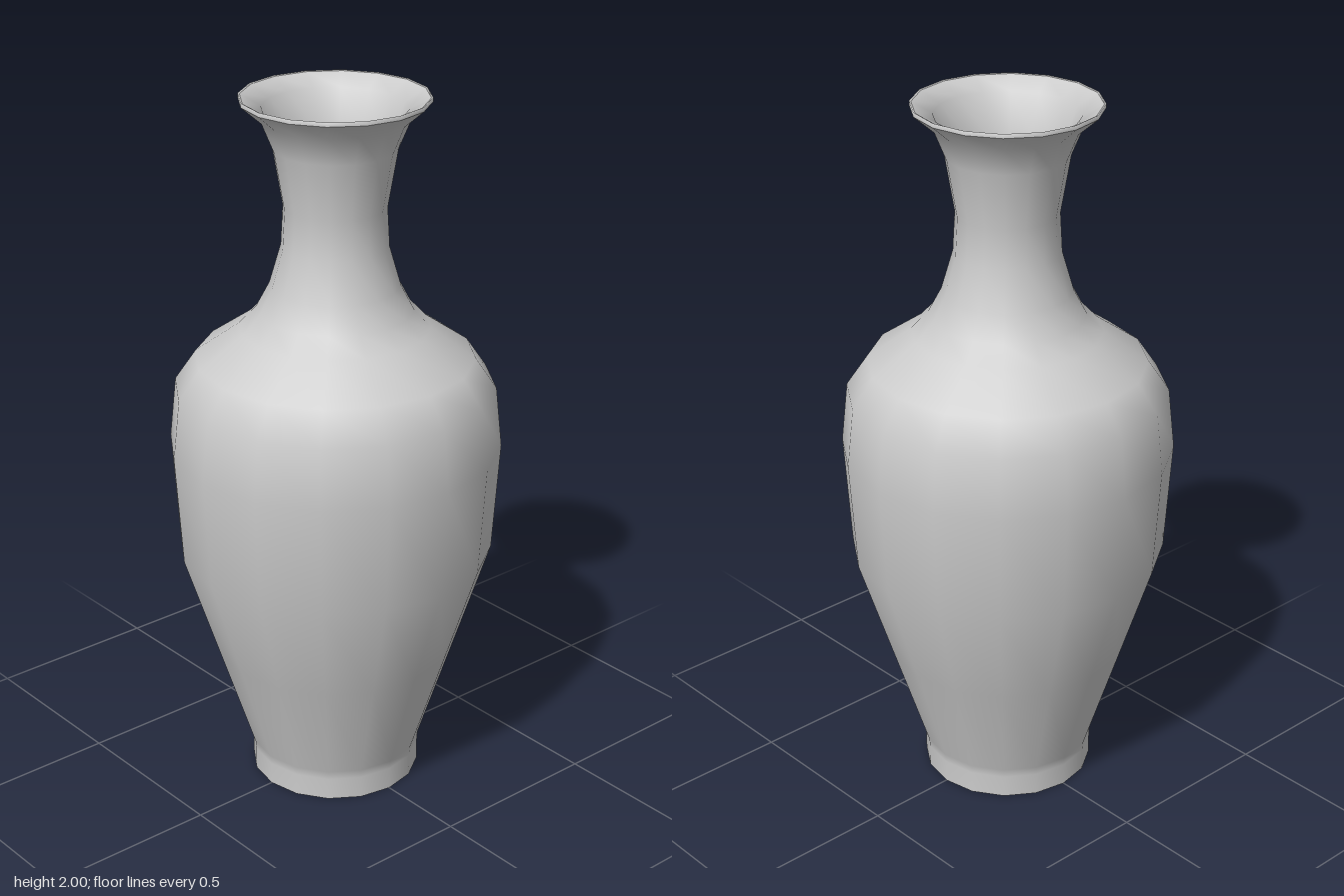
import * as THREE from 'three';

const SIDES = 16;

// Outer profile, foot to lip: [radius, height]
const OUTER = [
  [0.241, 0], [0.241, 0.065], [0.243, 0.09], [0.342, 0.4], [0.44, 0.707],
  [0.46, 1.02], [0.442, 1.19], [0.384, 1.275], [0.262, 1.36], [0.215, 1.41],
  [0.178, 1.48], [0.146, 1.59], [0.14, 1.7], [0.167, 1.86], [0.2, 1.94], [0.255, 1.988],
];

// Inner profile, lip to floor
const INNER = [
  [0.25, 1.998], [0.195, 1.968], [0.152, 1.86], [0.123, 1.7], [0.129, 1.59],
  [0.16, 1.48], [0.197, 1.41], [0.25, 1.345], [0.37, 1.255], [0.422, 1.18],
  [0.44, 1.02], [0.42, 0.71], [0.322, 0.4], [0.225, 0.1],
];

export function createModel() {
  const vase = new THREE.Group();
  vase.name = 'vase';
  const material = new THREE.MeshStandardMaterial({ color: 0xcccccc });

  // Separate lathes keep the edges between parts sharp
  const addLathe = (name, profile) => {
    const points = profile.map(([r, y]) => new THREE.Vector2(r, y));
    const mesh = new THREE.Mesh(new THREE.LatheGeometry(points, SIDES), material);
    mesh.name = name;
    vase.add(mesh);
  };

  addLathe('outerBody', OUTER);
  addLathe('lipEdge', [[0.255, 1.988], [0.255, 2], [0.25, 1.998]]);
  addLathe('innerWall', INNER);
  addLathe('innerFloor', [[0.225, 0.1], [0, 0.1]]);

  // Hollow foot: standing ring, inside of the ring and recessed underside
  addLathe('footRing', [[0.222, 0], [0.241, 0]]);
  addLathe('footInside', [[0.215, 0.06], [0.222, 0]]);
  addLathe('underside', [[0, 0.07], [0.215, 0.06]]);

  return vase;
}
